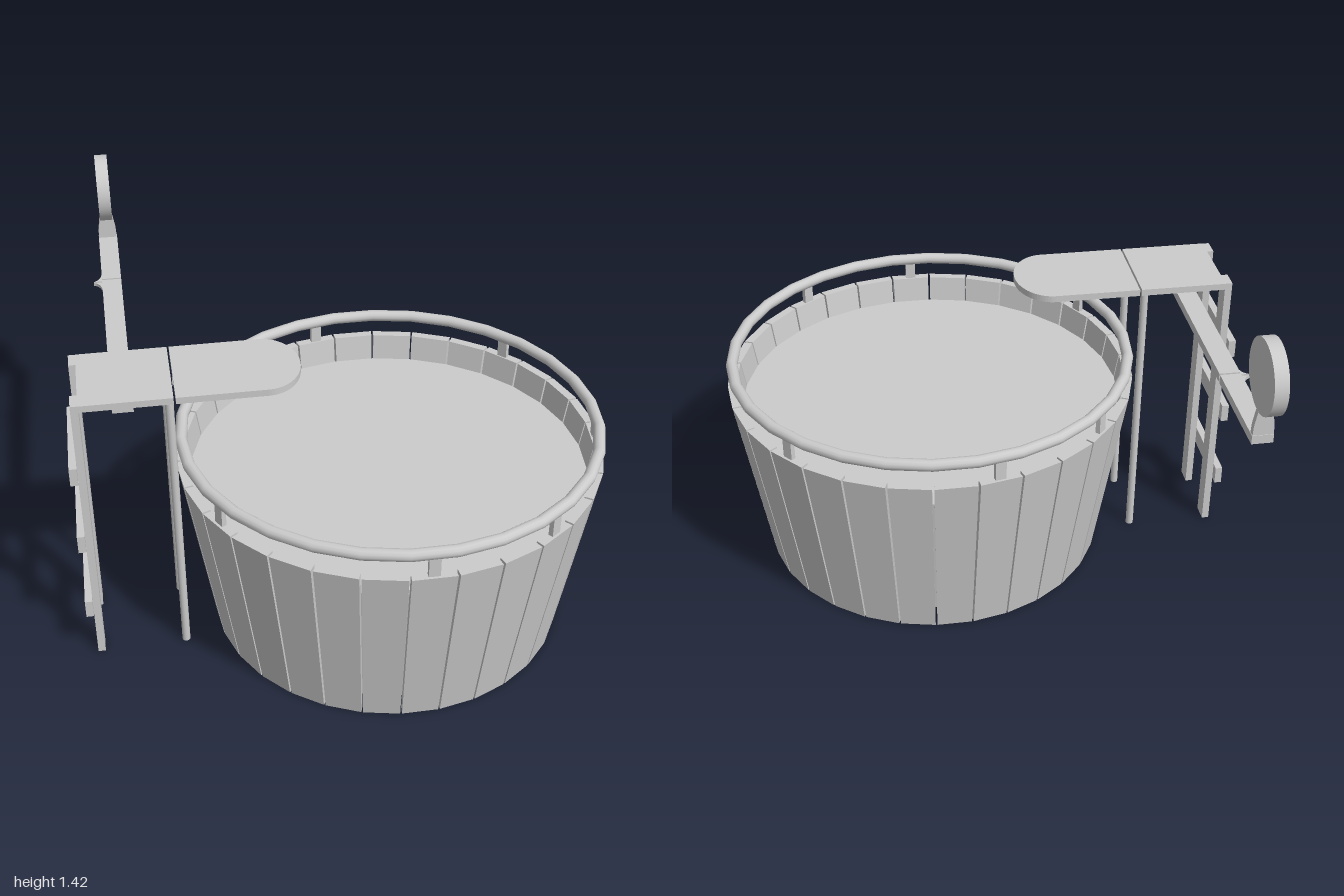
import * as THREE from 'three';

const grey = new THREE.MeshStandardMaterial({ color: 0xcccccc, side: THREE.DoubleSide });
const COUNT = 30, STEP = (Math.PI * 2) / COUNT, TUB_H = 0.72, WALL = 0.033;
const tubRadius = (y) => THREE.MathUtils.lerp(0.66, 0.777, y / TUB_H);

export function createModel() {
  const model = new THREE.Group();
  model.name = 'dunkTank';

  const add = (name, geometry, x = 0, y = 0, z = 0, parent = model) => {
    const mesh = new THREE.Mesh(geometry, grey);
    mesh.name = name;
    mesh.position.set(x, y, z);
    parent.add(mesh);
    return mesh;
  };
  // Box given by its minimum and maximum corners
  const box = (name, a, b, parent = model) =>
    add(name, new THREE.BoxGeometry(b[0] - a[0], b[1] - a[1], b[2] - a[2]),
      (a[0] + b[0]) / 2, (a[1] + b[1]) / 2, (a[2] + b[2]) / 2, parent);

  // Tub
  const tub = new THREE.Group();
  tub.name = 'tub';
  tub.position.set(0.183, 0, 0.222);
  model.add(tub);

  // One stave: a box bent to the tapering wall, with a narrow gap at each side
  const stave = new THREE.BoxGeometry(1, 1, 1);
  const p = stave.attributes.position;
  for (let i = 0; i < p.count; i++) {
    const y = (p.getY(i) + 0.5) * TUB_H;
    const r = tubRadius(y) - (p.getZ(i) > 0 ? 0 : WALL);
    const angle = Math.sign(p.getX(i)) * (STEP / 2 - 0.005);
    p.setXYZ(i, Math.sin(angle) * r, y, Math.cos(angle) * r);
  }
  stave.computeVertexNormals();
  for (let i = 0; i < COUNT; i++) add('stave', stave, 0, 0, 0, tub).rotation.y = i * STEP;

  // Water body, with its floor raised above the ground
  const floorY = 0.07, waterY = 0.62;
  add('water', new THREE.CylinderGeometry(tubRadius(waterY) - WALL, tubRadius(floorY) - WALL,
    waterY - floorY, COUNT, 1, false, STEP / 2), 0, (floorY + waterY) / 2, 0, tub);

  // Rim rail on irregularly spaced posts
  add('rimRail', new THREE.TorusGeometry(0.754, 0.022, 12, COUNT), 0, 0.808, 0, tub).rotation.x = Math.PI / 2;
  for (const k of [0, 3, 7, 11, 16, 19, 25]) {
    const a = k * STEP;
    add('rimPost', new THREE.BoxGeometry(0.04, 0.09, 0.018),
      Math.sin(a) * 0.755, 0.755, Math.cos(a) * 0.755, tub).rotation.y = a;
  }

  // Ladder and platform
  const ladder = new THREE.Group();
  ladder.name = 'ladder';
  model.add(ladder);
  for (const side of [-1, 1]) {
    const z = 0.22 + side * 0.13;
    box('ladderRail', [-0.937, 0, z - 0.034], [-0.91, 1.1, z + 0.034], ladder);
    add('platformLeg', new THREE.CylinderGeometry(0.015, 0.015, 1.08, 12), -0.607, 0.54, 0.22 + side * 0.145, ladder);
  }
  for (const y of [0.2, 0.5, 0.795])
    box('rung', [-0.964, y, 0.025], [-0.937, y + 0.07, 0.412], ladder);
  box('platform', [-0.912, 1.075, 0.055], [-0.592, 1.1, 0.385], ladder);

  // Seat with a rounded end, extruded downwards from a plan outline
  const outline = new THREE.Shape();
  outline.moveTo(-0.585, -0.165);
  outline.lineTo(-0.27, -0.165);
  outline.absellipse(-0.27, 0, 0.13, 0.165, -Math.PI / 2, Math.PI / 2, false);
  outline.lineTo(-0.585, 0.165);
  outline.closePath();
  const seat = new THREE.ExtrudeGeometry(outline, { depth: 0.025, bevelEnabled: false, curveSegments: 20 });
  add('seat', seat.rotateX(-Math.PI / 2), 0, 1.075, 0.22);

  // Thin concave hinge gussets
  const gussetShape = new THREE.Shape();
  gussetShape.moveTo(0, 0);
  gussetShape.lineTo(0.06, 0);
  gussetShape.quadraticCurveTo(0.01, -0.005, 0, -0.032);
  gussetShape.closePath();
  const gusset = new THREE.ExtrudeGeometry(gussetShape, { depth: 0.012, bevelEnabled: false });
  add('seatGusset', gusset, -0.587, 1.075, 0.214);

  // Target arm in jointed lengths
  const arm = new THREE.Group();
  arm.name = 'targetArm';
  model.add(arm);
  for (const [z0, z1] of [[-0.887, -0.519], [-0.511, 0.216], [0.224, 0.36]])
    box('armBeam', [-0.8, 1.043, z0], [-0.727, 1.075, z1], arm);
  for (const z of [-0.515, 0.22])
    for (const side of [-1, 1]) {
      // Lay the gusset flat: its length along the arm, its point outwards
      const flat = gusset.clone().applyMatrix4(new THREE.Matrix4().set(
        0, 1, 0, -0.8, 0, 0, 1, 1.053, side, 0, 0, z + side * 0.004, 0, 0, 0, 1));
      if (side < 0) {
        const normals = flat.attributes.normal, q = flat.attributes.position;
        // Restore the winding of the mirrored copy
        for (let i = 0; i < q.count; i += 3) {
          const a = new THREE.Vector3().fromBufferAttribute(q, i);
          const b = new THREE.Vector3().fromBufferAttribute(q, i + 1);
          q.setXYZ(i, b.x, b.y, b.z);
          q.setXYZ(i + 1, a.x, a.y, a.z);
        }
        normals.needsUpdate = true;
        flat.computeVertexNormals();
      }
      add('armGusset', flat, 0, 0, 0, arm);
    }

  // Target bracket, tapering at the top, and target disc
  const bracket = new THREE.Shape([[-0.036, 0], [0.036, 0], [0.034, 0.05], [0.024, 0.11], [-0.024, 0.11], [-0.034, 0.05]]
    .map(([x, y]) => new THREE.Vector2(x, y)));
  add('targetBracket', new THREE.ExtrudeGeometry(bracket, { depth: 0.022, bevelEnabled: false }), -0.764, 1.06, -0.885, arm);
  add('target', new THREE.CylinderGeometry(0.128, 0.128, 0.048, 40), -0.764, 1.29, -0.872, arm).rotation.z = Math.PI / 2;

  return model;
}
